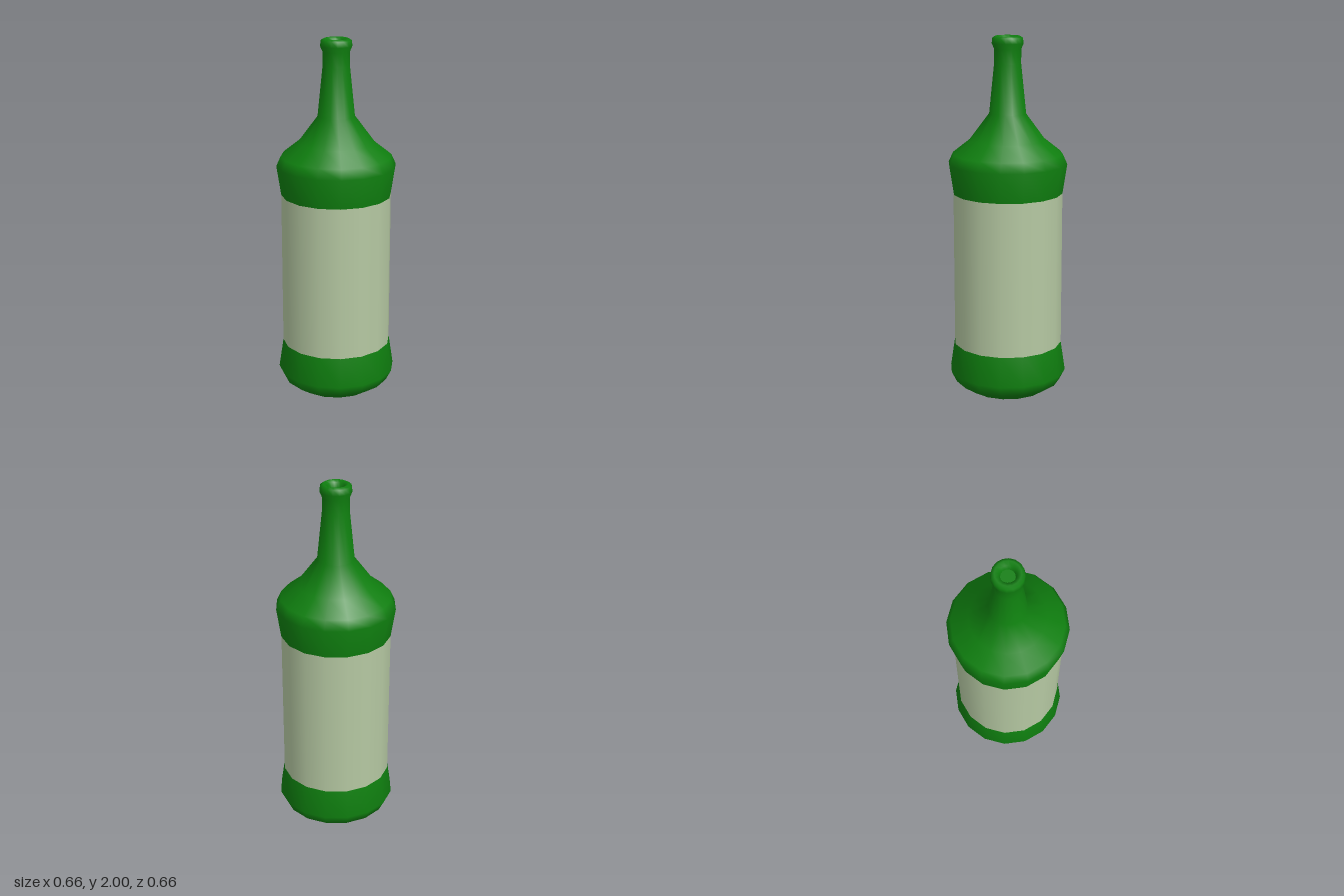
import * as THREE from 'three';

const SIDES = 16;

// Revolve a profile of [radius, height] pairs, listed from bottom to top
function turned(name, profile, material) {
  const points = profile.map(([r, y]) => new THREE.Vector2(r, y));
  const mesh = new THREE.Mesh(new THREE.LatheGeometry(points, SIDES), material);
  mesh.name = name;
  return mesh;
}

export function createModel() {
  const bottle = new THREE.Group();
  bottle.name = 'bottle';

  const glass = new THREE.MeshStandardMaterial({ color: 0x0f7f0f });
  const paper = new THREE.MeshStandardMaterial({ color: 0xb5c8a2 });

  // Base with a hollow punt underneath, rounded heel and taper up to the label
  bottle.add(turned('base', [
    [0, 0.11], [0.08, 0.095], [0.15, 0.04], [0.225, 0],
    [0.3, 0.05], [0.33, 0.11], [0.305, 0.275],
  ], glass));

  // Straight label band
  bottle.add(turned('label', [[0.305, 0.275], [0.305, 1.14]], paper));

  // Shoulder, tapering neck, rolled lip and the inside of the mouth
  bottle.add(turned('shoulderAndNeck', [
    [0.305, 1.14], [0.33, 1.305], [0.305, 1.36], [0.21, 1.435],
    [0.102, 1.58], [0.074, 1.85], [0.074, 1.93], [0.087, 1.96],
    [0.083, 1.99], [0.066, 2], [0.045, 1.99], [0.038, 1.96],
  ], glass));

  // Flat floor closing the mouth
  const mouth = new THREE.Mesh(new THREE.CircleGeometry(0.038, SIDES), glass);
  mouth.name = 'mouthFloor';
  mouth.rotation.x = -Math.PI / 2;
  mouth.position.y = 1.96;
  bottle.add(mouth);

  return bottle;
}
